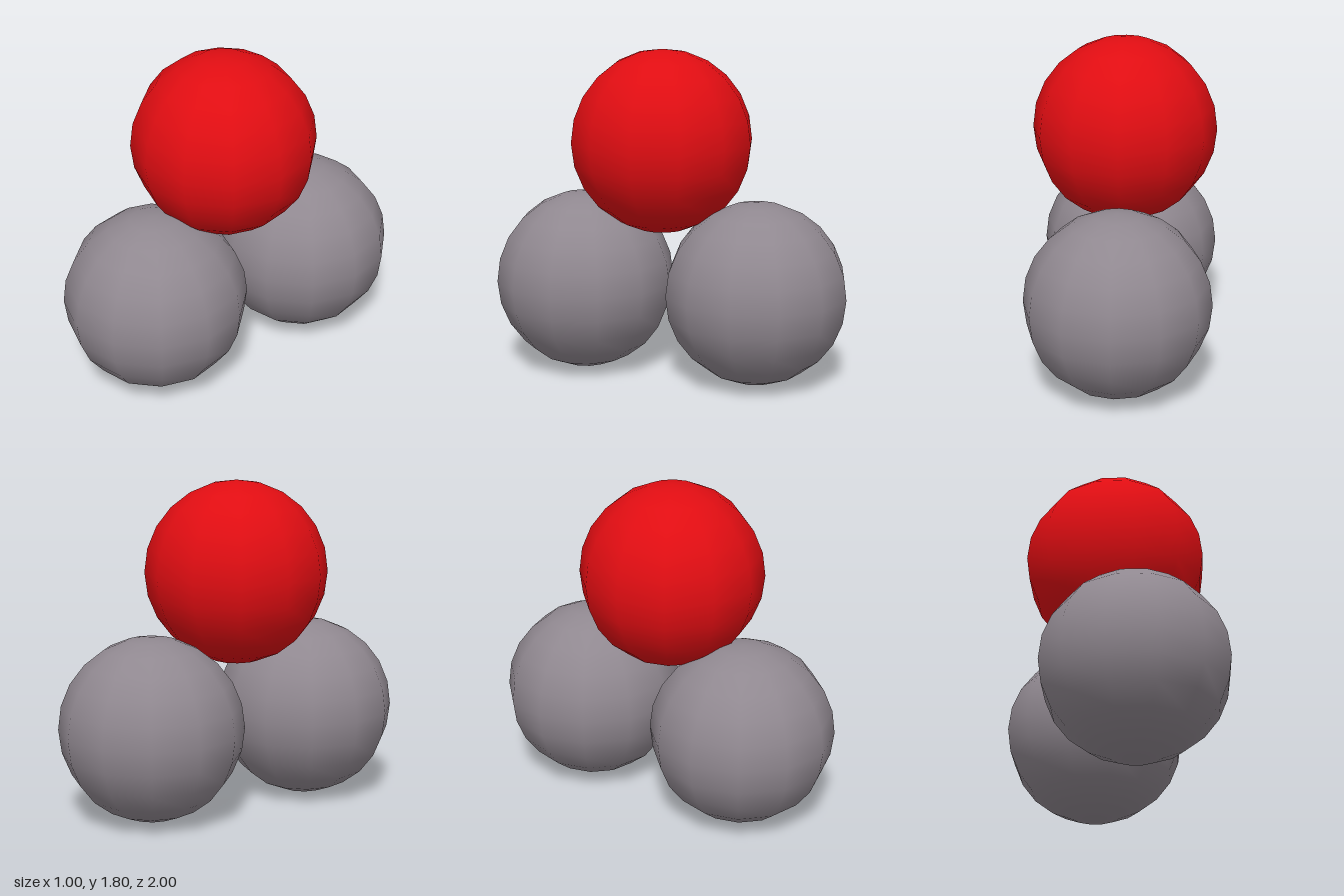
import * as THREE from 'three';

export function createModel() {
  const model = new THREE.Group();
  const ball = new THREE.SphereGeometry(0.5, 12, 12);
  const grey = new THREE.MeshStandardMaterial({ color: 0x908890 });
  const red = new THREE.MeshStandardMaterial({ color: 0xe00d12 });

  function addBall(name, material, y, z) {
    const mesh = new THREE.Mesh(ball, material);
    mesh.name = name;
    mesh.position.set(0, y, z);
    model.add(mesh);
  }

  // Two touching balls on the ground, one resting over the gap
  addBall('frontBall', grey, 0.5, 0.5);
  addBall('backBall', grey, 0.5, -0.5);
  addBall('topBall', red, 1.305, 0.04);

  return model;
}
